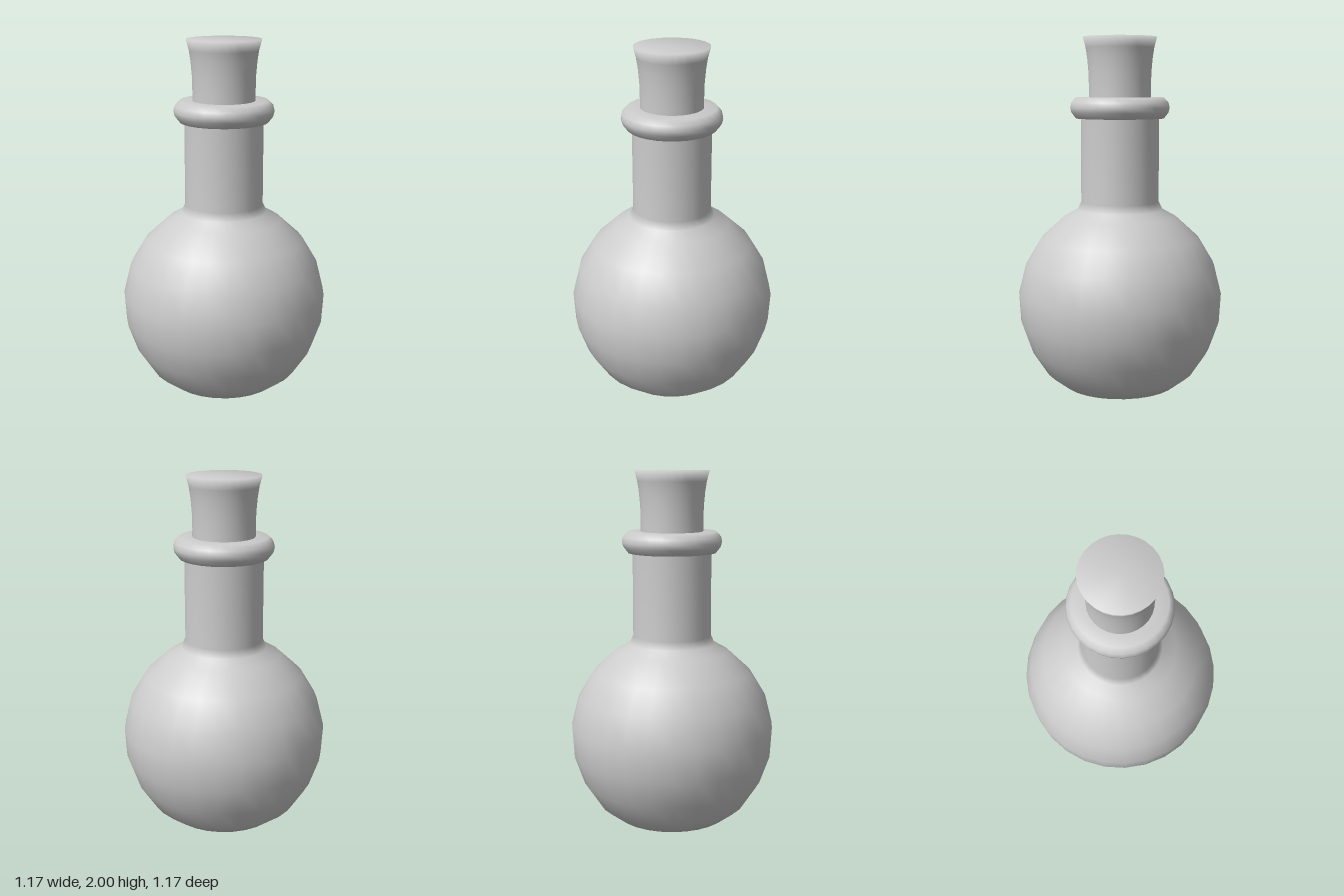
import * as THREE from 'three';

const SEGMENTS = 28;
const PHASE = THREE.MathUtils.degToRad(-4.9);

export function createModel() {
  const group = new THREE.Group();
  group.name = 'stopperedFlask';
  const material = new THREE.MeshStandardMaterial({ color: 0xcccccc });

  // Turns a bottom-to-top [radius, height] profile around the y axis
  function turned(name, profile) {
    const points = profile.map(([r, y]) => new THREE.Vector2(r, y));
    const mesh = new THREE.Mesh(new THREE.LatheGeometry(points, SEGMENTS, PHASE), material);
    mesh.name = name;
    group.add(mesh);
  }

  // Round belly with flat base, flowing into the straight neck
  turned('flaskBody', [
    [0, 0], [0.33, 0], [0.43, 0.077], [0.52, 0.215], [0.576, 0.375],
    [0.586, 0.545], [0.543, 0.715], [0.456, 0.86], [0.325, 0.98],
    [0.245, 1.025], [0.223, 1.07], [0.223, 1.56],
  ]);

  // Rounded lip around the mouth
  turned('neckRing', [
    [0.2, 1.545], [0.25, 1.545], [0.276, 1.578], [0.283, 1.605],
    [0.276, 1.635], [0.25, 1.663], [0.16, 1.664],
  ]);

  // Flared stopper with a flat top
  turned('stopper', [
    [0.178, 1.6], [0.176, 1.7], [0.178, 1.8], [0.185, 1.88],
    [0.194, 1.94], [0.21, 2], [0, 2],
  ]);

  return group;
}
